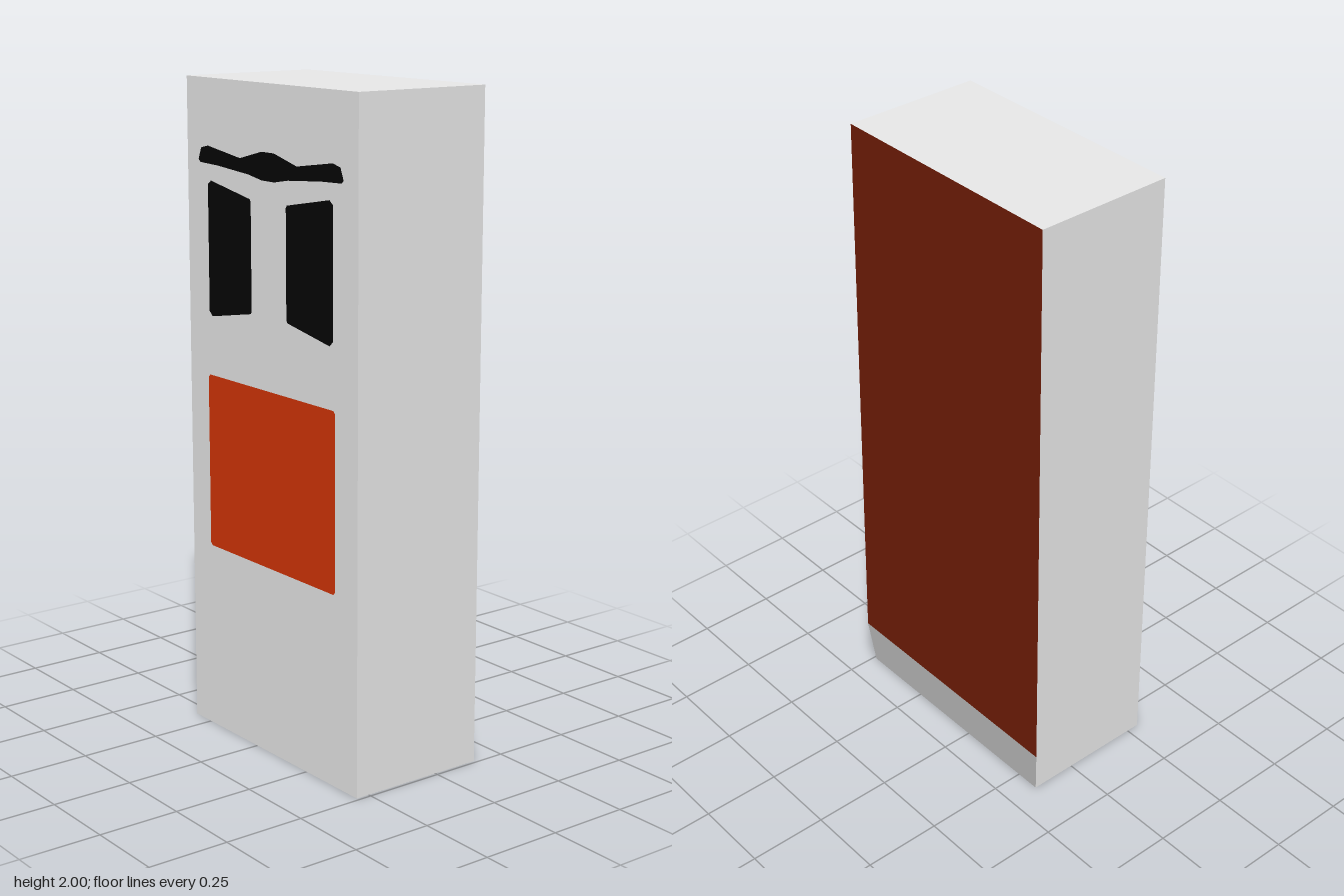
import * as THREE from 'three';

const material = (name, color) => {
  const m = new THREE.MeshStandardMaterial({ color });
  m.name = name;
  return m;
};

// Polygon fanned from its first corner; one averaged normal for the whole face
function face(points) {
  const normal = new THREE.Vector3(), position = [], normals = [];
  points.forEach((p, i) => normal.add(p.clone().cross(points[(i + 1) % points.length])));
  normal.normalize();
  for (let i = 1; i < points.length - 1; i++) {
    for (const p of [points[0], points[i], points[i + 1]]) {
      position.push(p.x, p.y, p.z);
      normals.push(normal.x, normal.y, normal.z);
    }
  }
  const g = new THREE.BufferGeometry();
  g.setAttribute('position', new THREE.Float32BufferAttribute(position, 3));
  g.setAttribute('normal', new THREE.Float32BufferAttribute(normals, 3));
  return g;
}

export function createModel() {
  const group = new THREE.Group();
  const grey = material('light grey', 0xe6e6e6);
  const red = material('orange red', 0xd23406);
  const brown = material('dark brown', 0x6b1b06);
  const black = material('black', 0x050505);

  const add = (name, geometry, mat) => {
    const mesh = new THREE.Mesh(geometry, mat);
    mesh.name = name;
    group.add(mesh);
    return mesh;
  };

  // Side outline as [z, y, sideways shift], starting at the skewed heel
  const front = 0.293;
  const outline = [[-0.294, 0.336, -0.16], [-0.151, 0, 0], [front, 0, 0], [front, 2, 0], [-0.151, 2, 0]];
  const ring = (x) => outline.map(([z, y, shift]) => new THREE.Vector3(x + shift, y, z));
  const right = ring(-0.33), left = ring(0.49);

  // Right side folds along its rear upright; left side dips in towards the heel
  add('rightSide', face([...right.slice(1), right[0]]), grey);
  add('leftSide', face([left[0], ...left.slice(1).reverse()]), grey);

  // Strips that join the two sides
  const strips = ['heel', 'base', 'frontPanel', 'topPanel', 'backPanel'];
  strips.forEach((name, i) => {
    const j = (i + 1) % outline.length;
    add(name, face([right[i], left[i], left[j], right[j]]), name === 'backPanel' ? brown : grey);
  });

  // Painted details lie just in front of the front panel
  const centre = 0.08;
  const plate = (name, points, mat) => {
    const shape = new THREE.Shape(points.map(([x, y]) => new THREE.Vector2(x + centre, y)));
    add(name, new THREE.ShapeGeometry(shape), mat).position.z = front + 0.003;
  };
  const flip = (points) => points.map(([x, y]) => [-x, y]).reverse();

  // Eyes
  const eye = [[0.085, 1.34], [0.09, 1.333], [0.286, 1.298], [0.302, 1.312],
    [0.302, 1.69], [0.286, 1.702], [0.09, 1.667], [0.085, 1.66]];
  plate('leftEye', eye, black);
  plate('rightEye', flip(eye), black);

  // Brow
  const brow = [[0.03, 1.726], [0.095, 1.737], [0.25, 1.749], [0.34, 1.752], [0.349, 1.76],
    [0.335, 1.795], [0.3, 1.803], [0.137, 1.78], [0.03, 1.807]];
  plate('brow', [...brow, ...flip(brow)], black);

  // Mouth
  const mouth = [[0.303, 0.583], [0.312, 0.592], [0.312, 1.109], [0.303, 1.118]];
  plate('mouth', [...mouth, ...flip(mouth)], red);

  return group;
}
